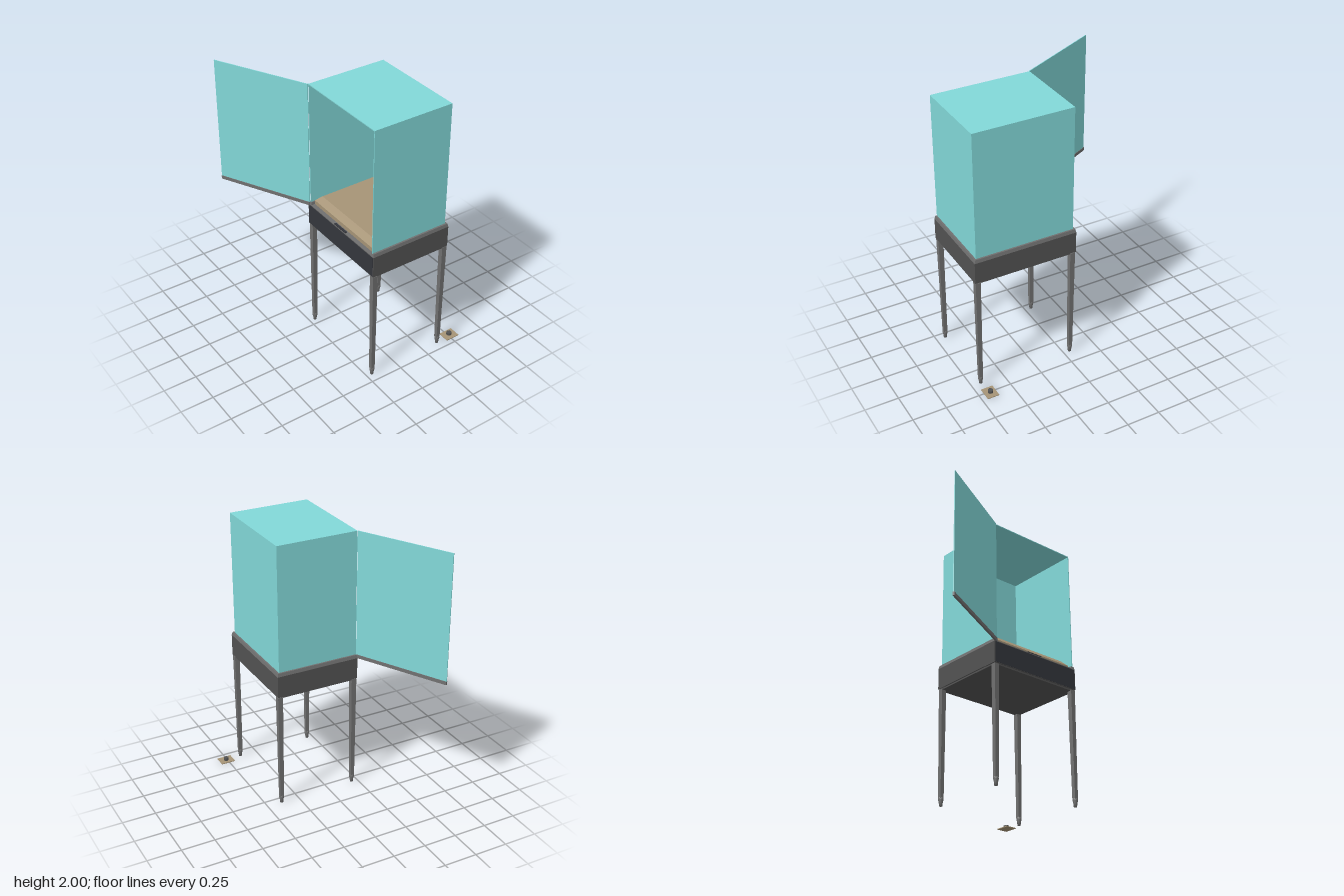
import * as THREE from 'three';

const mat = (name, color) => {
  const m = new THREE.MeshStandardMaterial({ color });
  m.name = name;
  return m;
};

// Box standing on y = 0 whose top may be smaller than its bottom
function taperedBox(w0, d0, w1, d1, h) {
  const g = new THREE.BoxGeometry(1, h, 1).translate(0, h / 2, 0);
  const p = g.attributes.position;
  for (let i = 0; i < p.count; i++) {
    const top = p.getY(i) > h / 2;
    p.setX(i, p.getX(i) * (top ? w1 : w0));
    p.setZ(i, p.getZ(i) * (top ? d1 : d0));
  }
  g.computeVertexNormals();
  return g;
}

export function createModel() {
  const glass = mat('teal glass', 0x82d8d8);
  const metal = mat('grey metal', 0x707070);
  const charcoal = mat('charcoal metal', 0x525252);
  const panel = mat('dark panel', 0x34363c);
  const tan = mat('tan fabric', 0xa69476);

  const model = new THREE.Group();
  model.name = 'displayCase';

  const add = (name, geometry, material, x, y, z, parent = model) => {
    const mesh = new THREE.Mesh(geometry, material);
    mesh.name = name;
    mesh.position.set(x, y, z);
    parent.add(mesh);
    return mesh;
  };
  // Box given by its minimum and maximum corners
  const span = (name, material, x0, x1, y0, y1, z0, z1, parent = model) =>
    add(name, new THREE.BoxGeometry(x1 - x0, y1 - y0, z1 - z0), material,
      (x0 + x1) / 2, (y0 + y1) / 2, (z0 + z1) / 2, parent);

  // Overall plan of the plinth
  const X0 = -0.226, X1 = 0.405, Z0 = -0.075, Z1 = 0.7;

  // Plinth: body, inset underside and the dark panel on the door side
  span('plinth', charcoal, X0, X1, 0.885, 1.045, Z0, Z1);
  span('plinthUnderside', charcoal, X0 + 0.008, X1 - 0.008, 0.873, 0.885, Z0 + 0.008, Z1 - 0.008);
  span('doorSidePanel', panel, X0 - 0.002, X0, 0.888, 1.042, Z0 + 0.006, Z1 - 0.006);

  // Raised rim on the three closed sides, and the lower ledge under the door
  const rim = new THREE.Group();
  rim.name = 'rim';
  model.add(rim);
  const zMid = (Z0 + Z1) / 2, xMid = (X0 + X1) / 2;
  add('rimRight', taperedBox(0.036, Z1 - Z0, 0.026, Z1 - Z0 - 0.01, 0.025), metal, X1 - 0.018, 1.045, zMid, rim);
  for (const z of [Z0 + 0.018, Z1 - 0.018])
    add('rimEnd', taperedBox(X1 - X0, 0.036, X1 - X0 - 0.01, 0.026, 0.025), metal, xMid, 1.045, z, rim);
  span('doorLedge', metal, X0, X0 + 0.03, 1.045, 1.05, Z0 + 0.03, Z1 - 0.03, rim);
  span('lockPlate', panel, X0 + 0.002, X0 + 0.018, 1.05, 1.057, 0.24, 0.37, rim);

  // Display cushion with sloping edges
  span('cushionBase', tan, -0.195, 0.373, 1.045, 1.08, -0.042, 0.666);
  add('cushionTop', taperedBox(0.568, 0.708, 0.49, 0.63, 0.04), tan, 0.089, 1.08, 0.312);

  // Fixed glass: back, front, right side and roof, open on the door side
  const hood = new THREE.Group();
  hood.name = 'glassHood';
  model.add(hood);
  const t = 0.006, gx0 = -0.222, gx1 = 0.387, gz0 = -0.058, gz1 = 0.682;
  span('glassFront', glass, gx0, gx1, 1.068, 2 - t, gz1 - t, gz1, hood);
  span('glassBack', glass, gx0, gx1, 1.068, 2 - t, gz0, gz0 + t, hood);
  span('glassRight', glass, gx1 - t, gx1, 1.068, 2 - t, gz0 + t, gz1 - t, hood);
  span('glassRoof', glass, gx0, gx1, 2 - t, 2, gz0, gz1, hood);

  // Glass door swung open about the back corner
  const door = new THREE.Group();
  door.name = 'door';
  door.position.set(-0.226, 0, -0.058);
  door.rotation.y = Math.atan2(0.653, -0.334);
  model.add(door);
  span('doorGlass', glass, 0, 0.733, 1.068, 2, -0.003, 0.003, door);
  span('doorRail', metal, 0, 0.733, 1.044, 1.07, -0.007, 0.007, door);

  // Four tapering legs with small turned feet
  const footProfile = [[0, 0], [0.012, 0], [0.014, 0.025], [0.019, 0.045], [0.018, 0.058], [0.012, 0.068]]
    .map(([r, y]) => new THREE.Vector2(r, y));
  const footGeometry = new THREE.LatheGeometry(footProfile, 10);
  const legGeometry = taperedBox(0.028, 0.028, 0.038, 0.038, 0.825);
  for (const x of [-0.204, 0.384])
    for (const z of [-0.051, 0.678]) {
      const leg = new THREE.Group();
      leg.name = 'leg';
      leg.position.set(x, 0, z);
      model.add(leg);
      add('legPost', legGeometry, metal, 0, 0.055, 0, leg);
      add('foot', footGeometry, metal, 0, 0, 0, leg);
    }

  // Small pad with a knob on the floor beside the front leg
  span('floorPad', tan, 0.457, 0.564, 0, 0.006, 0.623, 0.711);
  add('floorKnob', new THREE.CylinderGeometry(0.019, 0.02, 0.02, 8), charcoal, 0.511, 0.016, 0.665);

  return model;
}
